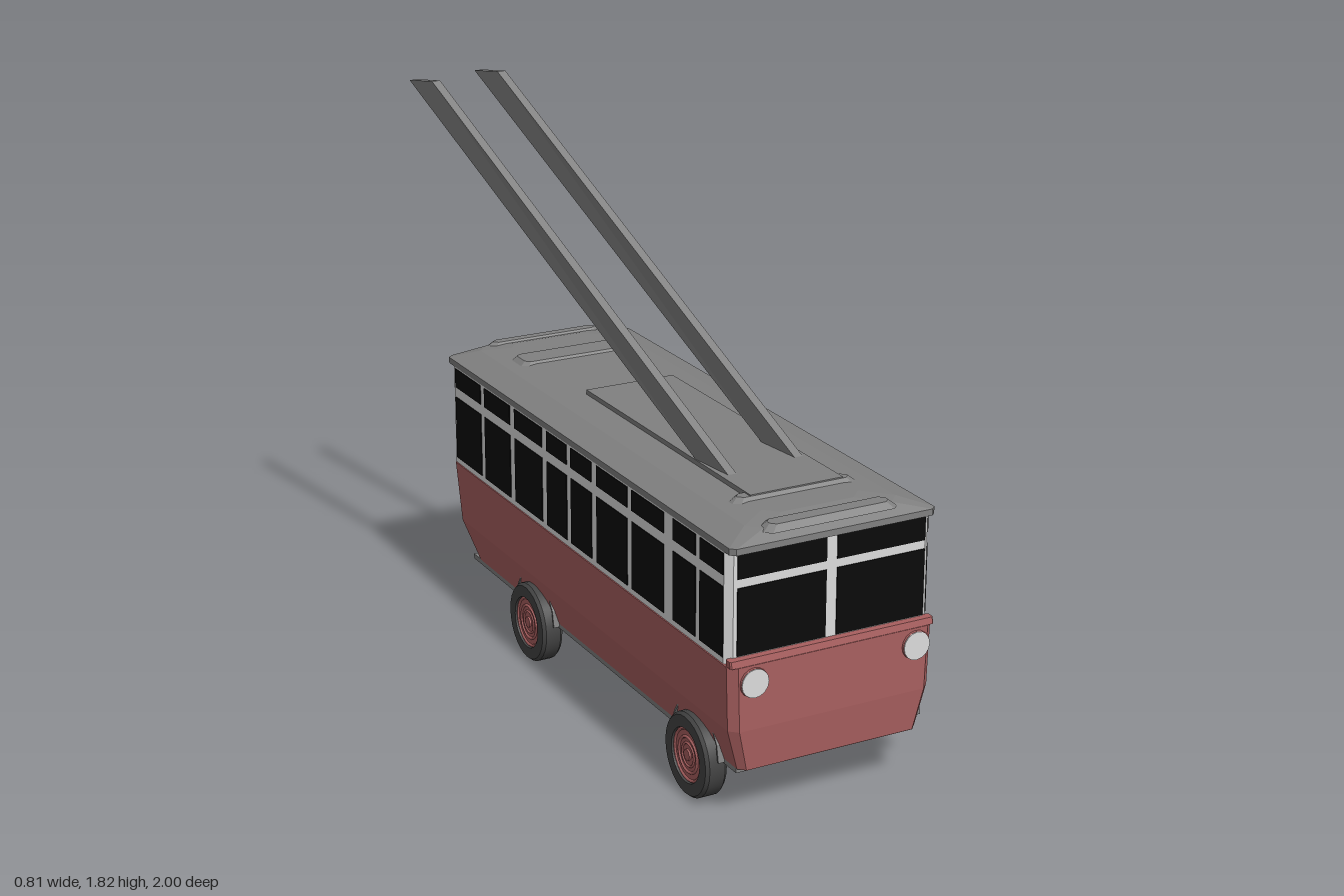
import * as THREE from 'three';
import { toCreasedNormals } from 'three/addons/utils/BufferGeometryUtils.js';

const mat = (name, color) => {
  const m = new THREE.MeshStandardMaterial({ color });
  m.name = name;
  return m;
};

// Joins rings of points (counter-clockwise from above) from bottom to top, with flat faces and caps
function loft(rings) {
  const pos = [];
  const tri = (...pts) => pts.forEach((p) => pos.push(...p));
  const n = rings[0].length;
  for (let r = 0; r < rings.length - 1; r++) {
    for (let i = 0; i < n; i++) {
      const j = (i + 1) % n;
      const [a, b, c, d] = [rings[r][i], rings[r][j], rings[r + 1][j], rings[r + 1][i]];
      tri(a, b, c);
      tri(a, c, d);
    }
  }
  const cap = (ring, up) => {
    const flat = ring.map((p) => new THREE.Vector2(p[0], -p[2]));
    for (const [a, b, c] of THREE.ShapeUtils.triangulateShape(flat, [])) {
      if (up) tri(ring[a], ring[b], ring[c]);
      else tri(ring[a], ring[c], ring[b]);
    }
  };
  cap(rings[0], false);
  cap(rings[rings.length - 1], true);
  const g = new THREE.BufferGeometry();
  g.setAttribute('position', new THREE.Float32BufferAttribute(pos, 3));
  g.computeVertexNormals();
  return g;
}

const CX = 0.03; // centre line of the body

// Rectangle with chamfered corners; c is the chamfer, cx the centre
function rectRing(y, half, zF, zB, c, cx = CX) {
  const a = cx - half, b = cx + half;
  return [[b, zF - c], [b, zB + c], [b - c, zB], [a + c, zB], [a, zB + c], [a, zF - c], [a + c, zF], [b - c, zF]]
    .map(([x, z]) => [x, y, z]);
}

// Same outline with the door recess cut into the left side
function bodyRing(y, half, zF, zB, c) {
  const r = rectRing(y, half, zF, zB, c), b = CX + half;
  r.splice(1, 0, [b, y, 0.1], [0.18, y, 0.1], [0.18, y, -0.165], [b, y, -0.188]);
  return r;
}

export function createModel() {
  const model = new THREE.Group();
  model.name = 'trolleybus';
  const red = mat('red paint', 0xa85f5f);
  const white = mat('white paint', 0xdcdcdc);
  const gray = mat('gray metal', 0x808080);
  const black = mat('black glass', 0x0a0a0a);
  const rubber = mat('dark rubber', 0x444444);

  const add = (name, geo, material, x = 0, y = 0, z = 0) => {
    const m = new THREE.Mesh(geo, material);
    m.name = name;
    m.position.set(x, y, z);
    model.add(m);
    return m;
  };
  const box = (name, material, x0, x1, y0, y1, z0, z1) =>
    add(name, new THREE.BoxGeometry(x1 - x0, y1 - y0, z1 - z0), material, (x0 + x1) / 2, (y0 + y1) / 2, (z0 + z1) / 2);

  // Body shell
  add('lowerBody', loft([
    bodyRing(0.17, 0.3, 0.98, -0.815, 0.02),
    bodyRing(0.3, 0.335, 0.99, -0.885, 0.025),
    bodyRing(0.5, 0.341, 0.99, -0.915, 0.025),
  ]), red);
  add('frontLedge', loft([rectRing(0.5, 0.339, 0.988, 0.955, 0.004), rectRing(0.52, 0.339, 0.983, 0.955, 0.004)]), red);
  add('upperBody', loft([
    bodyRing(0.5, 0.337, 0.96, -0.912, 0.02),
    bodyRing(0.845, 0.337, 0.96, -0.912, 0.02),
  ]), white);

  // Side windows, lower and upper rows
  const rows = [[0.52, 0.735], [0.77, 0.835]];
  const front = [[0.805, 0.94], [0.645, 0.78], [0.39, 0.59], [0.16, 0.36]];
  const rear = [[-0.42, -0.22], [-0.65, -0.455], [-0.88, -0.68]];
  const middle = [[-0.015, 0.125], [-0.185, -0.045]];
  const sideWindow = (x, [z0, z1]) =>
    rows.forEach(([y0, y1]) => box('sideWindow', black, x - 0.003, x + 0.003, y0, y1, z0, z1));
  [...front, ...rear].forEach((w) => sideWindow(CX + 0.337, w));
  [...front, ...middle, ...rear].forEach((w) => sideWindow(CX - 0.337, w));

  // Door at the back of the recess, and the glazed partition beside it
  sideWindow(0.18, [-0.13, 0.04]);
  rows.forEach(([y0, y1]) => {
    const p = box('partitionWindow', black, 0.2, 0.345, y0, y1, -0.179, -0.173);
    p.rotation.y = Math.atan(0.023 / 0.187);
  });

  // Windscreen and rear windows
  for (const [x0, x1] of [[-0.275, 0.015], [0.05, 0.345]]) {
    box('windscreen', black, x0, x1, 0.523, 0.73, 0.957, 0.963);
    box('upperWindscreen', black, x0, x1, 0.757, 0.832, 0.957, 0.963);
    box('rearWindow', black, x0, x1, 0.52, 0.72, -0.915, -0.909);
  }

  // Headlights in red casings
  for (const x of [CX - 0.265, CX + 0.275]) {
    const casing = new THREE.CylinderGeometry(0.045, 0.047, 0.02, 16).rotateX(Math.PI / 2);
    add('headlightCasing', casing, red, x, 0.447, 0.987);
    const lens = new THREE.CylinderGeometry(0.044, 0.044, 0.004, 16).rotateX(Math.PI / 2);
    add('headlight', lens, white, x, 0.447, 0.998);
  }

  // Roof with equipment cover and low vents
  add('roof', loft([
    rectRing(0.84, 0.338, 0.985, -0.945, 0.015),
    rectRing(0.86, 0.338, 0.985, -0.945, 0.015),
    rectRing(0.887, 0.25, 0.94, -0.91, 0.04),
    rectRing(0.897, 0.16, 0.88, -0.86, 0.04),
  ]), gray);
  box('roofCover', gray, -0.12, 0.19, 0.89, 0.912, -0.28, 0.76);
  const vent = (z0, z1, y, half) => add('roofVent', loft([
    rectRing(y - 0.02, half, z1, z0, 0.02),
    rectRing(y, half - 0.025, z1 - 0.015, z0 + 0.015, 0.015),
  ]), gray);
  vent(0.71, 0.775, 0.908, 0.21);
  vent(-0.74, -0.62, 0.905, 0.215);
  vent(0.9, 0.975, 0.9, 0.22);
  vent(-0.93, -0.87, 0.9, 0.215);

  // Two trolley poles leaning back from the roof
  for (const [dx, dz] of [[0, 0], [0.245, -0.035]]) {
    const ring = (xf, yf, zf, xb, yb, zb) => {
      const w = 0.014;
      return [[xf + w, yf, zf], [xb + w, yb, zb], [xb - w, yb, zb], [xf - w, yf, zf]]
        .map(([x, y, z]) => [x + dx, y, z + dz]);
    };
    add('trolleyPole', loft([
      ring(-0.08, 0.9, 0.61, -0.1, 0.9, 0.45),
      ring(-0.37, 1.825, -0.83, -0.39, 1.805, -0.965),
    ]), gray);
  }

  // Floor and entrance step
  box('floor', gray, -0.27, 0.33, 0.155, 0.172, -0.85, 0.955);
  box('entranceStep', gray, 0.17, 0.35, 0.09, 0.12, -0.18, 0.11);

  // Mudguard sheet: an arch across the full width with a trailing tail
  const outer = [], inner = [];
  for (let i = 0; i <= 8; i++) {
    const a = (i / 8) * Math.PI;
    outer.push([0.14 * Math.cos(a), 0.16 + 0.14 * Math.sin(a)]);
    inner.push([0.134 * Math.cos(a), 0.16 + 0.134 * Math.sin(a)]);
  }
  outer.push([-0.182, 0.1]);
  inner.push([-0.176, 0.1]);
  const arch = new THREE.Shape([...outer, ...inner.reverse()].map((p) => new THREE.Vector2(...p)));
  const archGeo = new THREE.ExtrudeGeometry(arch, { depth: 0.69, bevelEnabled: false }).rotateY(-Math.PI / 2);

  // Wheels: stepped hubs on both sides, tyres on the right side
  const tyreProfile = [[0.085, -0.035], [0.122, -0.035], [0.13, -0.025], [0.13, 0.025], [0.122, 0.035], [0.085, 0.035], [0.085, -0.035]]
    .map((p) => new THREE.Vector2(...p));
  const tyreGeo = toCreasedNormals(new THREE.LatheGeometry(tyreProfile, 28).rotateZ(-Math.PI / 2), 0.6);
  const hub = (x, z, side, width) => {
    const disc = new THREE.CylinderGeometry(0.086, 0.086, width, 24).rotateZ(Math.PI / 2);
    add('hub', disc, red, x, 0.132, z);
    const face = x + side * width / 2;
    for (const [r, t] of [[0.08, 0.005], [0.055, 0.005], [0.036, 0.004]]) {
      add('hubRing', new THREE.TorusGeometry(r, t, 6, 24).rotateY(Math.PI / 2), red, face, 0.132, z);
    }
    add('hubCap', new THREE.CylinderGeometry(0.018, 0.018, 0.012, 12).rotateZ(Math.PI / 2), red, face, 0.132, z);
  };
  for (const z of [0.748, -0.328]) {
    add('mudguard', archGeo, gray, 0.4, 0, z);
    hub(0.392, z, 1, 0.014);
    hub(-0.287, z, -1, 0.05);
    add('tyre', tyreGeo, rubber, -0.287, 0.132, z);
  }
  return model;
}
